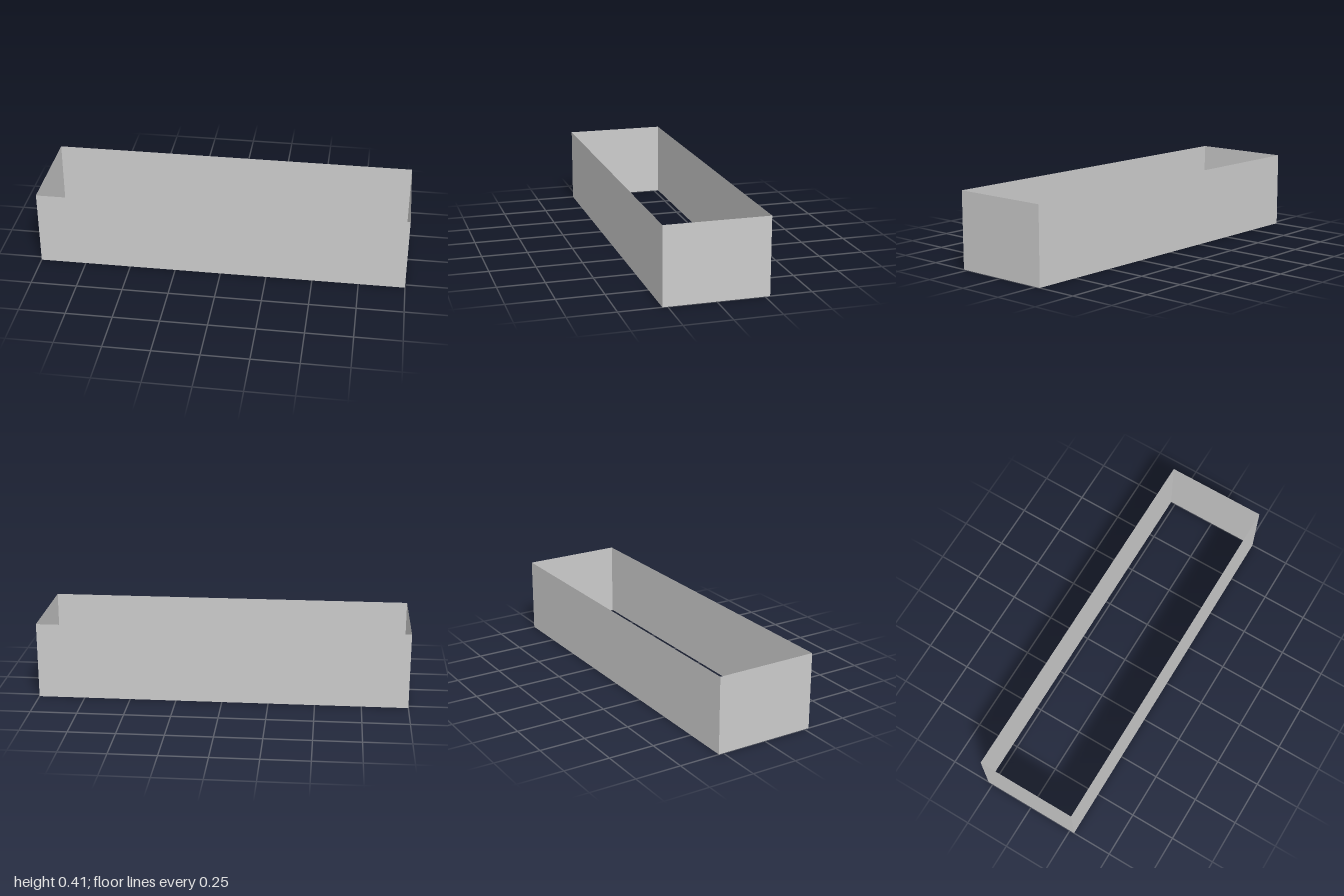
import * as THREE from 'three';
import { mergeGeometries } from 'three/addons/utils/BufferGeometryUtils.js';

const HEIGHT = 0.415, HALF_X = 1, HALF_Z = 0.277;
const PITCH = 0.069, PANE_W = 0.057, PANE_H = 0.045;
const allRows = [0, 1, 2, 3, 4, 5].map(i => 0.02 + i * PITCH);
const oddRows = allRows.filter((_, i) => i % 2 === 1);

const material = new THREE.MeshStandardMaterial({ color: 0xcccccc, side: THREE.DoubleSide });

// Flat rectangle from (u0, v0) to (u1, v1)
function rect(u0, v0, u1, v1) {
  return new THREE.PlaneGeometry(u1 - u0, v1 - v0).translate((u0 + u1) / 2, (v0 + v1) / 2, 0);
}

// Left edges of a run of windows
const run = (start, count) => Array.from({ length: count }, (_, i) => start + i * PITCH);

// Wall made of full-width bands, piers between windows, and flush panes.
// columnsAt(row) gives the sorted left edges of the windows in that row.
function facade(name, half, columnsAt) {
  const masonry = [], panes = [];
  let v = 0;
  allRows.forEach((v0, row) => {
    const columns = columnsAt(row);
    if (!columns.length) return;
    const v1 = v0 + PANE_H;
    masonry.push(rect(-half, v, half, v0));
    let u = -half;
    for (const u0 of columns) {
      masonry.push(rect(u, v0, u0, v1));
      panes.push(rect(u0, v0, u0 + PANE_W, v1));
      u = u0 + PANE_W;
    }
    masonry.push(rect(u, v0, half, v1));
    v = v1;
  });
  masonry.push(rect(-half, v, half, HEIGHT));

  const group = new THREE.Group();
  group.name = name;
  for (const [part, list] of [['Wall', masonry], ['Windows', panes]]) {
    const mesh = new THREE.Mesh(mergeGeometries(list), material);
    mesh.name = name + part;
    group.add(mesh);
  }
  return group;
}

export function createModel() {
  const model = new THREE.Group();
  model.name = 'building';

  // Long sides: two runs on alternate storeys, a dense run at the +x end
  const endRun = run(0.73, 4);
  const longRuns = [...run(-0.925, 10), ...run(-0.1, 10), ...endRun];
  const mirror = list => list.map(u => -u - PANE_W).reverse();
  const longRow = row => (row % 2 ? longRuns : endRun);

  const front = facade('front', HALF_X, longRow);
  front.position.z = HALF_Z;
  const back = facade('back', HALF_X, row => mirror(longRow(row)));
  back.rotation.y = Math.PI;
  back.position.z = -HALF_Z;

  // Short ends: windows in two groups either side of a blank centre
  const denseEnd = [...mirror(run(0.076, 3)), ...run(0.076, 3)];
  const sparseEnd = [...mirror(run(0.076, 2)), ...run(0.076, 2)];
  const left = facade('leftEnd', HALF_Z, () => denseEnd);
  left.rotation.y = Math.PI / 2;
  left.position.x = HALF_X;
  const right = facade('rightEnd', HALF_Z, row => (oddRows.includes(allRows[row]) ? sparseEnd : []));
  right.rotation.y = -Math.PI / 2;
  right.position.x = -HALF_X;

  model.add(front, back, left, right);
  return model;
}
